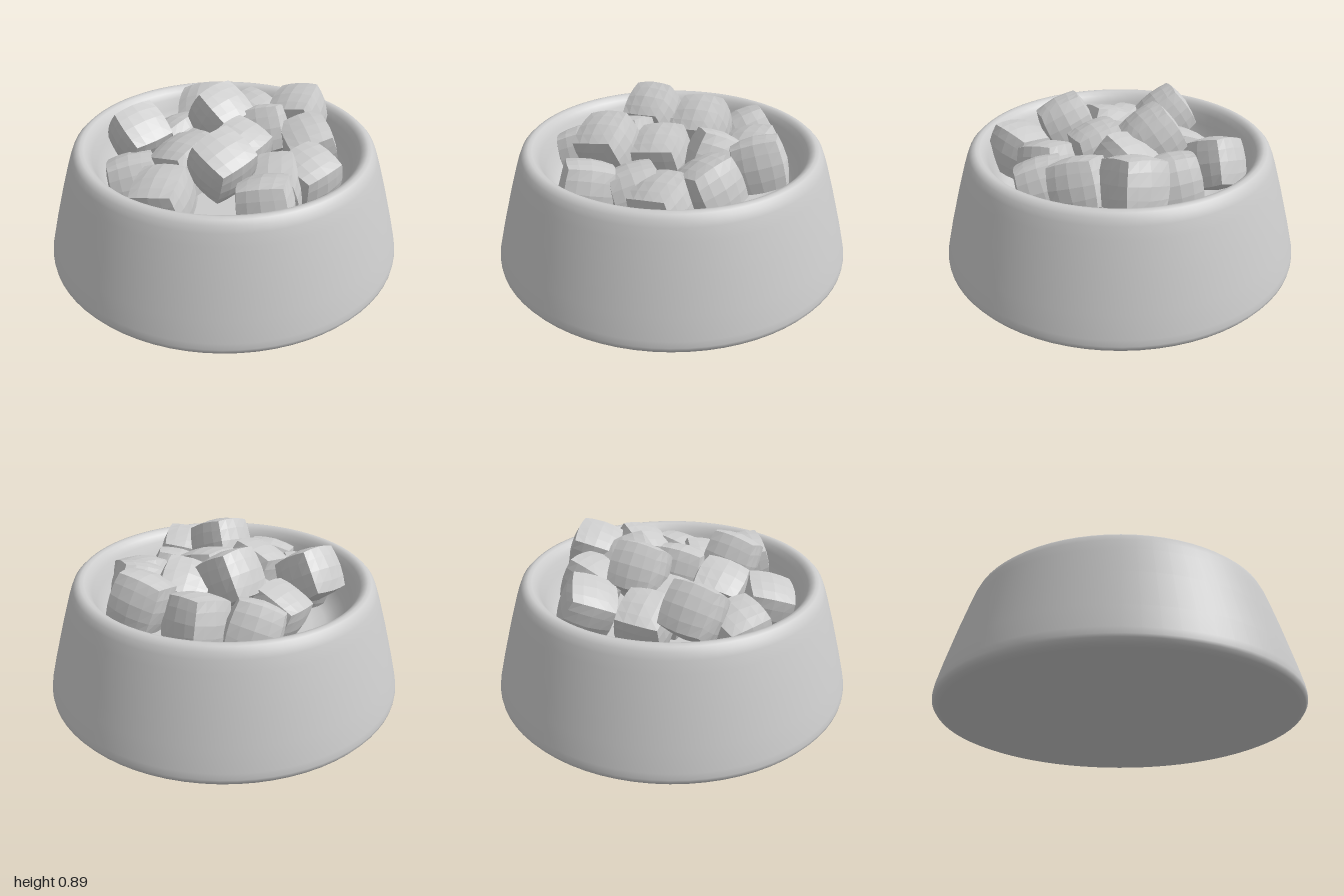
import * as THREE from 'three';

const grey = new THREE.MeshStandardMaterial({ color: 0xcccccc });
const faceted = new THREE.MeshStandardMaterial({ color: 0xcccccc, flatShading: true });

// Bowl profile: flat base, flared wall, rounded rim, dished inside
const bowlProfile = [
  [0, 0], [0.95, 0], [0.96, 0], [0.985, 0.01], [0.998, 0.028], [1, 0.045], [0.995, 0.08],
  [0.965, 0.2], [0.91, 0.4], [0.865, 0.55], [0.845, 0.61], [0.83, 0.645], [0.81, 0.664],
  [0.79, 0.67], [0.77, 0.664], [0.75, 0.645], [0.73, 0.61], [0.71, 0.55], [0.68, 0.47],
  [0.64, 0.41], [0.58, 0.38], [0.5, 0.37], [0, 0.37],
];

// Pieces of food: x, y, z, then yaw, pitch, roll
const pieces = [
  [0.08, 0.67, -0.54, 0.35, 0.3, 0.25],
  [-0.17, 0.59, -0.41, -0.1, 0.3, -0.15],
  [-0.45, 0.59, -0.28, 0.65, 0.4, 0.3],
  [0.31, 0.61, -0.36, -0.6, 0.3, -0.3],
  [0.05, 0.64, -0.27, 0.5, -0.4, 0.3],
  [0.47, 0.54, -0.18, -0.15, 0.2, -0.25],
  [-0.15, 0.72, -0.12, 0, 0.08, -0.55],
  [-0.36, 0.53, 0.02, 0.1, 0.1, 0.4],
  [-0.12, 0.52, 0.03, 0.05, 0.2, 0.1],
  [0.12, 0.63, 0, 0.1, 0.15, -0.3],
  [0.4, 0.54, 0.02, 0.7, 0.25, 0.25],
  [0.53, 0.57, 0.23, 0.6, -0.2, 0.2],
  [-0.37, 0.66, 0.3, -0.1, 0.1, -0.6],
  [0, 0.61, 0.28, 0.1, 0.25, 0.3],
  [0.25, 0.7, 0.26, -0.05, 0.2, -0.42],
  [-0.2, 0.51, 0.48, -0.6, 0.2, 0.2],
  [0.09, 0.54, 0.52, 0.5, 0.25, 0.2],
];

// Cube with swollen faces and blunted corners
function puffedCube(size) {
  const geometry = new THREE.BoxGeometry(2, 2, 2, 4, 4, 4);
  const position = geometry.attributes.position;
  const p = new THREE.Vector3();
  const ball = new THREE.Vector3();
  for (let i = 0; i < position.count; i++) {
    p.fromBufferAttribute(position, i);
    ball.copy(p).setLength(1.22);
    p.lerp(ball, 0.45).multiplyScalar(size / 2.2);
    position.setXYZ(i, p.x, p.y, p.z);
  }
  geometry.computeVertexNormals();
  return geometry;
}

export function createModel() {
  const model = new THREE.Group();
  model.name = 'filledBowl';

  const bowl = new THREE.Mesh(
    new THREE.LatheGeometry(bowlProfile.map(([r, y]) => new THREE.Vector2(r, y)), 72), grey);
  bowl.name = 'bowl';
  model.add(bowl);

  // Heap of food
  const heap = new THREE.Group();
  heap.name = 'foodHeap';
  const pieceGeometry = puffedCube(0.295);
  pieces.forEach(([x, y, z, yaw, pitch, roll], i) => {
    const piece = new THREE.Mesh(pieceGeometry, faceted);
    piece.name = `foodPiece${i + 1}`;
    piece.position.set(x, y, z);
    piece.rotation.set(pitch, yaw, roll, 'YXZ');
    heap.add(piece);
  });
  model.add(heap);
  return model;
}
